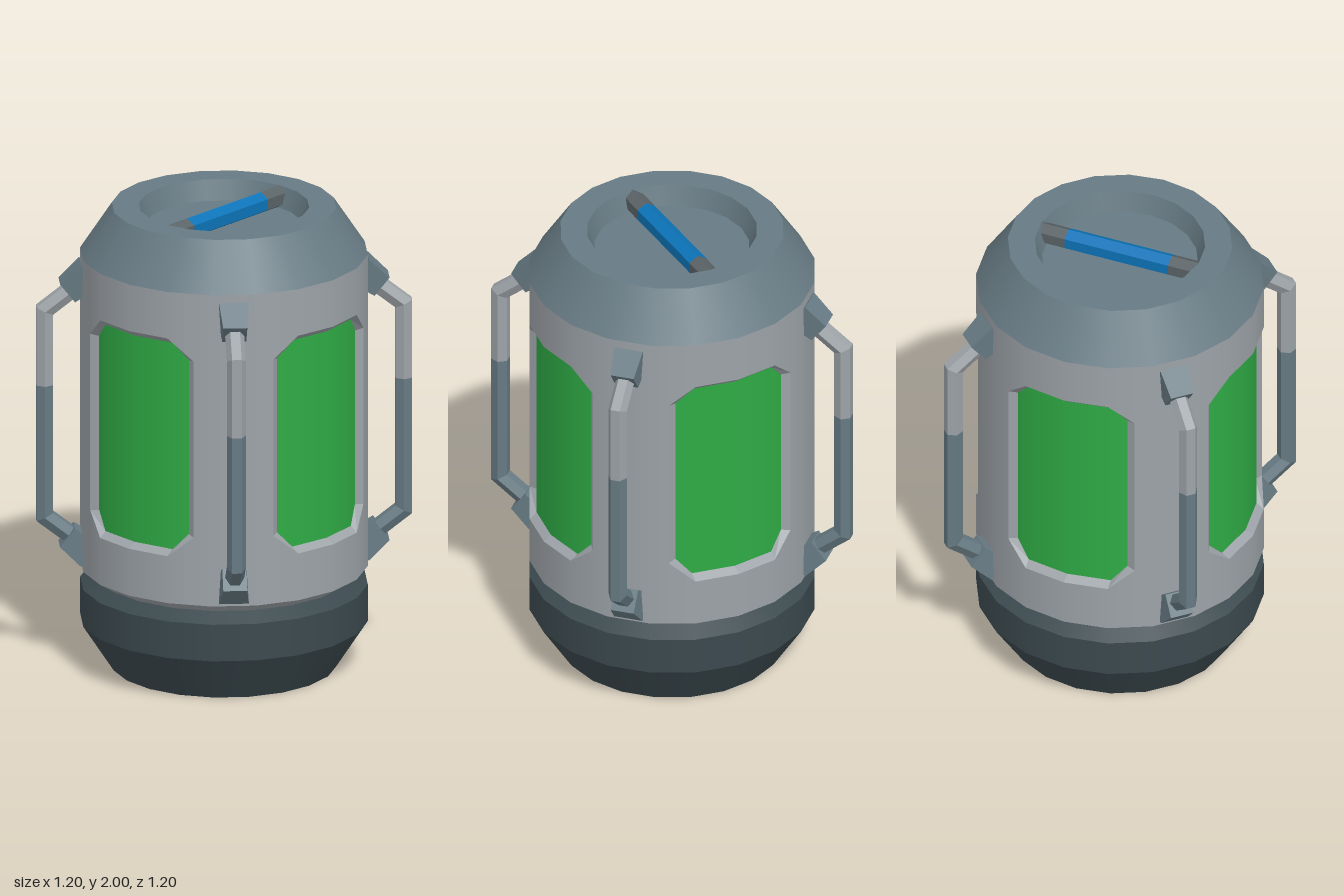
import * as THREE from 'three';
import { mergeGeometries } from 'three/addons/utils/BufferGeometryUtils.js';

const SIDES = 20;
const R = 0.6;

function makeMaterial(name, color) {
  const m = new THREE.MeshStandardMaterial({ color });
  m.name = name;
  return m;
}

function addMesh(parent, name, geometry, material) {
  const mesh = new THREE.Mesh(geometry, material);
  mesh.name = name;
  parent.add(mesh);
  return mesh;
}

// Lathe with a hard edge at every profile point
function bands(profile) {
  const parts = [];
  for (let i = 0; i < profile.length - 1; i++) {
    const pts = [profile[i], profile[i + 1]].map(([r, y]) => new THREE.Vector2(r, y));
    parts.push(new THREE.LatheGeometry(pts, SIDES));
  }
  return mergeGeometries(parts);
}

// Quads given by four corners each; radial normals when round, flat otherwise
function quads(list, round) {
  const pos = [];
  for (const [a, b, c, d] of list) pos.push(...a, ...b, ...c, ...a, ...c, ...d);
  const g = new THREE.BufferGeometry();
  g.setAttribute('position', new THREE.Float32BufferAttribute(pos, 3));
  g.computeVertexNormals();
  if (round) {
    const n = g.attributes.normal;
    for (let i = 0; i < n.count; i++) {
      const x = pos[3 * i], z = pos[3 * i + 2], l = Math.hypot(x, z);
      n.setXYZ(i, x / l, 0, z / l);
    }
  }
  return g;
}

function flat(geometry) {
  const g = geometry.toNonIndexed();
  g.computeVertexNormals();
  return g;
}

// Depth of the faceted wall at a given x
function wallZ(x) {
  const step = (2 * Math.PI) / SIDES;
  const k = Math.floor(Math.asin(Math.abs(x) / R) / step + 1e-6);
  const x0 = R * Math.sin(k * step), x1 = R * Math.sin((k + 1) * step);
  const z0 = R * Math.cos(k * step), z1 = R * Math.cos((k + 1) * step);
  return z0 + ((Math.abs(x) - x0) / (x1 - x0)) * (z1 - z0);
}

const X18 = R * Math.sin(Math.PI / 10);
const X36 = R * Math.sin(Math.PI / 5);
const Z36 = R * Math.cos(Math.PI / 5);

// Window outline as columns [x, low y, high y]
const outline = (side, cornerLow, low, cornerHigh, high) => [
  [-side, cornerLow, cornerHigh], [-X18, low, high], [0, low, high],
  [X18, low, high], [side, cornerLow, cornerHigh],
];
const OUTER = outline(0.285, 0.735, 0.645, 1.505, 1.597);
const INNER = outline(0.247, 0.74, 0.668, 1.5, 1.57);
const INSET = 0.033;

function loop(cols, inset) {
  const p = (x, y) => [x, y, wallZ(x) - inset];
  return [...cols.map(c => p(c[0], c[1])), ...[...cols].reverse().map(c => p(c[0], c[2]))];
}

function wallQuarter() {
  const y0 = 0.44, y1 = 1.8, list = [];
  const p = (x, y) => [x, y, wallZ(x)];
  const strip = (a, b, la, lb, ha, hb) => list.push([p(a, la), p(b, lb), p(b, hb), p(a, ha)]);
  for (let i = 0; i < OUTER.length - 1; i++) {
    const [a, la, ha] = OUTER[i], [b, lb, hb] = OUTER[i + 1];
    strip(a, b, y0, y0, la, lb);
    strip(a, b, ha, hb, y1, y1);
  }
  strip(-X36, -0.285, y0, y0, y1, y1);
  strip(0.285, X36, y0, y0, y1, y1);
  // Corner face reaching the next quarter
  list.push([[X36, y0, Z36], [Z36, y0, X36], [Z36, y1, X36], [X36, y1, Z36]]);
  return quads(list, true);
}

function windowFrame() {
  const o = loop(OUTER, 0), n = loop(INNER, INSET);
  return quads(o.map((_, i) => {
    const j = (i + 1) % o.length;
    return [o[i], o[j], n[j], n[i]];
  }), false);
}

function windowPane() {
  const p = (x, y) => [x, y, wallZ(x) - INSET];
  const list = [];
  for (let i = 0; i < INNER.length - 1; i++) {
    const [a, la, ha] = INNER[i], [b, lb, hb] = INNER[i + 1];
    list.push([p(a, la), p(b, lb), p(b, hb), p(a, ha)]);
  }
  return quads(list, true);
}

// Six-sided rod with mitred bends, path in the x-y plane
function rod(path, radius) {
  const normals = path.slice(1).map(([x, y], i) =>
    new THREE.Vector2(path[i][1] - y, x - path[i][0]).normalize());
  const rings = path.map(([x, y], i) => {
    const a = normals[Math.max(i - 1, 0)], b = normals[Math.min(i, normals.length - 1)];
    const n = a.clone().add(b).divideScalar(1 + a.dot(b));
    return Array.from({ length: 6 }, (_, k) => {
      const t = ((k + 0.5) * Math.PI) / 3;
      const c = radius * Math.cos(t);
      return [x + n.x * c, y + n.y * c, radius * Math.sin(t)];
    });
  });
  const list = [];
  for (let i = 0; i < rings.length - 1; i++) {
    for (let k = 0; k < 6; k++) {
      const j = (k + 1) % 6;
      list.push([rings[i][k], rings[i][j], rings[i + 1][j], rings[i + 1][k]]);
    }
  }
  return quads(list, false);
}

// Tapered block pointing along the slanted end of the rod
function bracket(s) {
  const len = 0.12, dx = 0.78, dy = -0.62 * s;
  const g = new THREE.CylinderGeometry(0.071, 0.088, len, 4);
  g.rotateY(Math.PI / 4);
  g.rotateZ(Math.atan2(dy, dx) - Math.PI / 2);
  g.translate(0.655 - (dx * len) / 2, 1.11 + s * 0.535 - (dy * len) / 2, 0);
  return flat(g);
}

export function createModel() {
  const model = new THREE.Group();
  model.name = 'canister';
  const shell = makeMaterial('light grey shell', 0x9da3a8);
  const slate = makeMaterial('slate', 0x677a83);
  const dark = makeMaterial('dark slate', 0x3b494e);
  const green = makeMaterial('green window', 0x2fab45);
  const blue = makeMaterial('blue grip', 0x0c74b8);
  const steel = makeMaterial('dark steel', 0x5a6366);

  // Base, shell underside and recessed cap
  addMesh(model, 'base', bands([[0, 0], [0.47, 0], [R, 0.2], [R, 0.36], [0.537, 0.4]]), dark);
  addMesh(model, 'shellUnderside', bands([[0.537, 0.4], [R, 0.44]]), shell);
  addMesh(model, 'cap', bands([[R, 1.8], [0.468, 2], [0.355, 2], [0.325, 1.915], [0, 1.915]]), slate);

  // Grip across the cap recess
  const grip = (length, z) => {
    const g = new THREE.CylinderGeometry(0.046, 0.046, length, 6);
    g.rotateX(Math.PI / 2);
    g.translate(0, 1.954, z);
    return flat(g);
  };
  addMesh(model, 'capGrip', grip(0.466, 0), blue);
  for (const s of [-1, 1]) addMesh(model, 'capGripEnd', grip(0.122, s * 0.294), steel);

  // Four wall quarters with windows, four corner handles
  for (let i = 0; i < 4; i++) {
    const quarter = new THREE.Group();
    quarter.name = 'wallQuarter';
    quarter.rotation.y = (i * Math.PI) / 2;
    addMesh(quarter, 'wall', wallQuarter(), shell);
    addMesh(quarter, 'windowFrame', windowFrame(), shell);
    addMesh(quarter, 'windowPane', windowPane(), green);
    model.add(quarter);

    const handle = new THREE.Group();
    handle.name = 'handle';
    handle.rotation.y = Math.PI / 4 + (i * Math.PI) / 2;
    addMesh(handle, 'handleUpper', rod([[0.62, 1.66], [0.748, 1.56], [0.748, 1.235]], 0.04), shell);
    addMesh(handle, 'handleLower', rod([[0.748, 1.235], [0.748, 0.66], [0.62, 0.56]], 0.04), slate);
    for (const s of [1, -1]) addMesh(handle, 'handleBracket', bracket(s), slate);
    model.add(handle);
  }
  return model;
}
